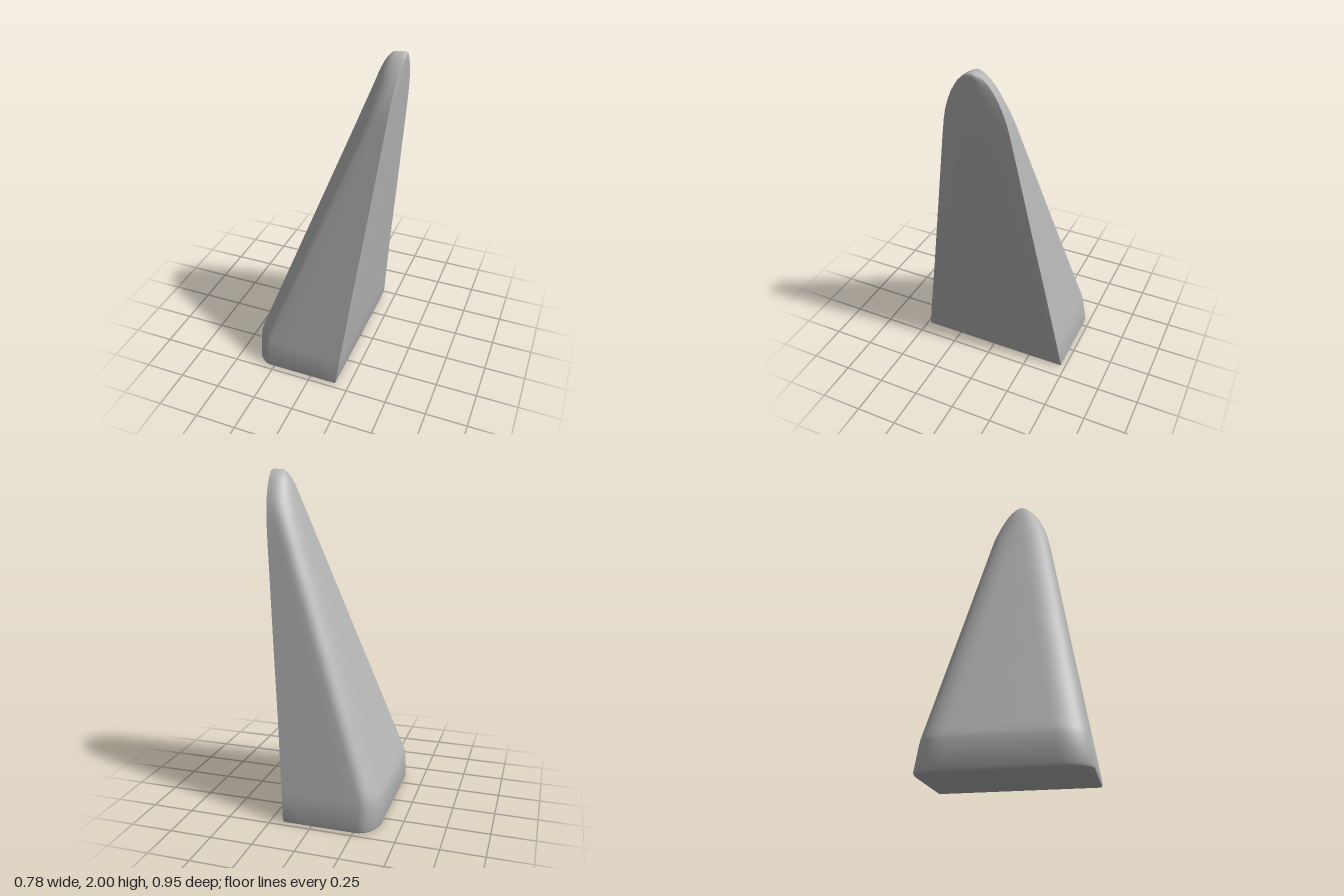
import * as THREE from 'three';
import { toCreasedNormals } from 'three/addons/utils/BufferGeometryUtils.js';

// Stations up the wedge: height, slanted edge x, upright face x, half width
const STATIONS = [
  [0, -0.375, 0.16, 0.463],
  [0.006, -0.383, 0.166, 0.471],
  [0.02, -0.388, 0.172, 0.475],
  [0.17, -0.389, 0.19, 0.45],
  [0.2, -0.382, 0.194, 0.445],
  [0.24, -0.367, 0.199, 0.438],
  [0.6, -0.234, 0.242, 0.376],
  [1.0, -0.086, 0.287, 0.307],
  [1.4, 0.062, 0.33, 0.239],
  [1.6, 0.136, 0.352, 0.205],
  [1.7, 0.172, 0.362, 0.187],
  [1.76, 0.194, 0.368, 0.173],
  [1.82, 0.217, 0.374, 0.153],
  [1.87, 0.235, 0.378, 0.132],
  [1.91, 0.25, 0.381, 0.11],
  [1.945, 0.267, 0.384, 0.087],
  [1.97, 0.283, 0.386, 0.063],
  [1.985, 0.296, 0.387, 0.044],
  [1.994, 0.307, 0.385, 0.027],
  [1.999, 0.318, 0.38, 0.011],
  [2.0, 0.325, 0.375, 0.0005],
];

// Horizontal outline: bowed upright face, flat flanks, two rounded corners
function section([y, xl, xr, w]) {
  const pts = [];
  const bulge = 0.012 * Math.min(1, y / 0.5);
  const rx = Math.min(0.11, (xr - xl) * 0.75);
  const rz = Math.min(0.17, w * 0.96);
  for (let i = 0; i <= 8; i++) {
    const t = -1 + i / 4;
    pts.push([xr - bulge * t * t, y, t * w]);
  }
  const half = [];
  const start = xr - bulge;
  for (let i = 1; i < 4; i++) half.push([start + (xl + rx - start) * i / 4, y, w]);
  for (let i = 0; i <= 10; i++) {
    const a = (i / 10) * Math.PI / 2;
    half.push([xl + rx * (1 - Math.sin(a)), y, w - rz * (1 - Math.cos(a))]);
  }
  pts.push(...half, ...half.slice().reverse().map(([x, h, z]) => [x, h, -z]));
  return pts;
}

// Skin the outlines from bottom to top, then close both ends
function loft(rings) {
  const n = rings[0].length;
  const pos = rings.flat(2);
  const index = [];
  for (let j = 0; j < rings.length - 1; j++) {
    for (let i = 0; i < n; i++) {
      const k = (i + 1) % n;
      const a = j * n + i, b = j * n + k, c = b + n, d = a + n;
      index.push(a, d, c, a, c, b);
    }
  }
  const last = rings.length - 1;
  const base = pos.length / 3;
  pos.push(-0.1, rings[0][0][1], 0, 0.35, rings[last][0][1], 0);
  for (let i = 0; i < n; i++) {
    const k = (i + 1) % n;
    index.push(base, i, k, base + 1, last * n + k, last * n + i);
  }
  const geo = new THREE.BufferGeometry();
  geo.setAttribute('position', new THREE.Float32BufferAttribute(pos, 3));
  geo.setIndex(index);
  return toCreasedNormals(geo, 0.6);
}

export function createModel() {
  const group = new THREE.Group();
  group.name = 'taperedWedge';
  const grey = new THREE.MeshStandardMaterial({ color: 0xb4b4b4 });
  grey.name = 'plain grey';
  const body = new THREE.Mesh(loft(STATIONS.map(section)), grey);
  body.name = 'wedgeBody';
  group.add(body);
  return group;
}
